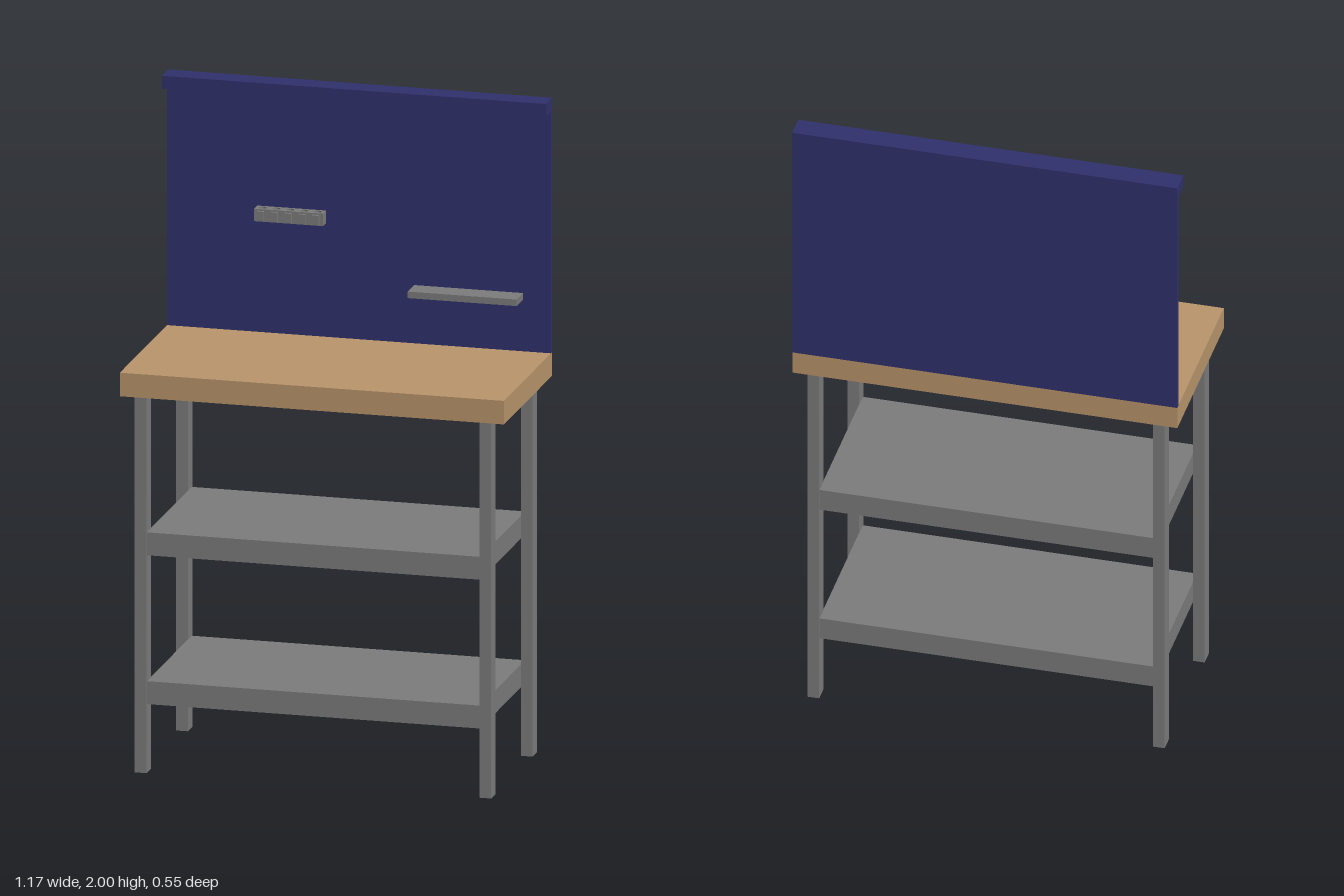
import * as THREE from 'three';

const steel = new THREE.MeshStandardMaterial({ name: 'grey steel', color: 0x7b7b7b });
const wood = new THREE.MeshStandardMaterial({ name: 'light wood', color: 0xb8946b });
const blue = new THREE.MeshStandardMaterial({ name: 'dark blue', color: 0x30306c });

// Box given by its extents along each axis
function slab(name, material, [x0, x1], [y0, y1], [z0, z1]) {
  const mesh = new THREE.Mesh(new THREE.BoxGeometry(x1 - x0, y1 - y0, z1 - z0), material);
  mesh.position.set((x0 + x1) / 2, (y0 + y1) / 2, (z0 + z1) / 2);
  mesh.name = name;
  return mesh;
}

// Small bar with upright round sockets and ribs along its front
function toolRack() {
  const rack = new THREE.Group();
  rack.name = 'toolRack';
  const width = 0.21, depth = 0.036, height = 0.038, sockets = 5, pitch = width / sockets;
  const outline = new THREE.Shape();
  outline.moveTo(-width / 2, 0);
  outline.lineTo(width / 2, 0);
  outline.lineTo(width / 2, depth);
  outline.lineTo(-width / 2, depth);
  for (let i = 0; i < sockets; i++) {
    const x = (i - (sockets - 1) / 2) * pitch;
    const hole = new THREE.Path();
    hole.absarc(x, depth / 2, 0.012, 0, Math.PI * 2, true);
    outline.holes.push(hole);
    rack.add(slab('rackRib', steel, [x - 0.01, x + 0.01], [0.005, height - 0.005], [depth, depth + 0.009]));
  }
  const geometry = new THREE.ExtrudeGeometry(outline, { depth: height, bevelEnabled: false, curveSegments: 8 });
  geometry.rotateX(Math.PI / 2).scale(1, 1, 1).translate(0, height, 0);
  const bar = new THREE.Mesh(geometry, steel);
  bar.name = 'rackBar';
  rack.add(bar);
  rack.position.set(-0.205, 1.57, -0.26);
  return rack;
}

export function createModel() {
  const bench = new THREE.Group();
  bench.name = 'workbench';

  // Four upright legs
  for (const x of [-0.525, 0.525]) {
    for (const z of [-0.233, 0.235]) {
      bench.add(slab('leg', steel, [x - 0.018, x + 0.018], [0, 1.15], [z - 0.025, z + 0.025]));
    }
  }

  // Two shelves held between the legs
  for (const y of [0.21, 0.665]) {
    bench.add(slab('shelf', steel, [-0.508, 0.508], [y, y + 0.07], [-0.253, 0.255]));
  }

  // Worktop, back panel and its overhanging top rail
  bench.add(slab('worktop', wood, [-0.585, 0.585], [1.15, 1.222], [-0.272, 0.272]));
  bench.add(slab('backPanel', blue, [-0.585, 0.585], [1.222, 1.96], [-0.273, -0.26]));
  bench.add(slab('topRail', blue, [-0.585, 0.585], [1.96, 2], [-0.273, -0.202]));

  // Fittings on the panel
  bench.add(slab('toolTray', steel, [0.168, 0.5], [1.38, 1.4], [-0.26, -0.187]));
  bench.add(toolRack());
  return bench;
}
